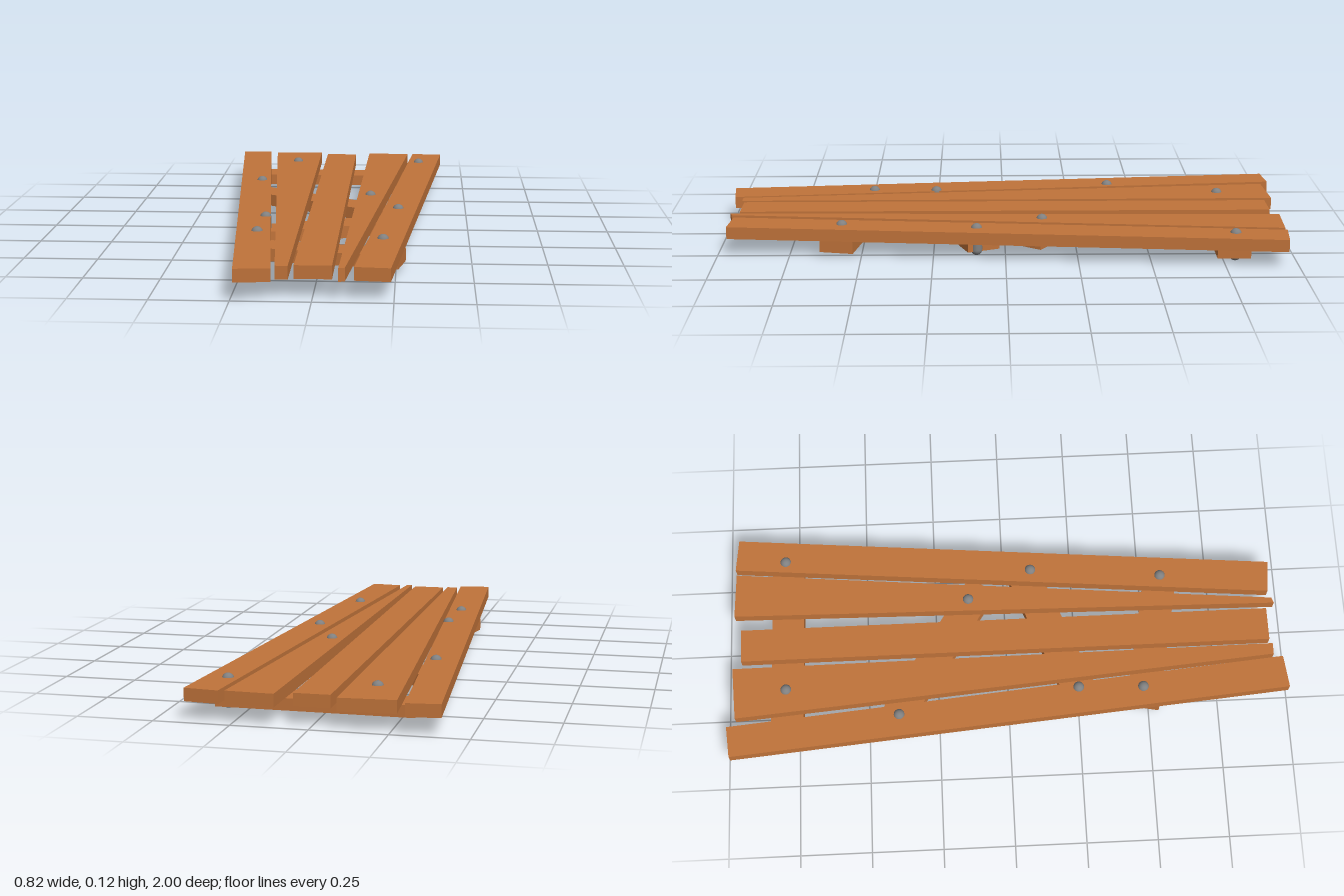
import * as THREE from 'three';

const wood = new THREE.MeshStandardMaterial({ color: 0xc0733a, flatShading: true });
const iron = new THREE.MeshStandardMaterial({ color: 0x808080 });

// Board cut to a plan outline of [x, z] corners, between two heights
function board(name, corners, y0, y1) {
  const shape = new THREE.Shape(corners.map(([x, z]) => new THREE.Vector2(x, -z)));
  const geo = new THREE.ExtrudeGeometry(shape, { depth: y1 - y0, bevelEnabled: false });
  geo.rotateX(-Math.PI / 2);
  geo.translate(0, y0, 0);
  const mesh = new THREE.Mesh(geo, wood);
  mesh.name = name;
  return mesh;
}

export function createModel() {
  const model = new THREE.Group();
  model.name = 'plankPanel';

  // Tapering planks, fanned out towards the back
  const planks = {
    outerRightPlank: [[-0.41, -0.99], [-0.30, -1.0], [-0.125, 0.987], [-0.24, 1.0]],
    innerRightPlank: [[-0.27, -0.97], [-0.085, -0.98], [-0.075, 0.955], [-0.115, 0.955]],
    middlePlank: [[-0.058, -0.95], [0.06, -0.95], [0.06, 0.945], [-0.058, 0.945]],
    innerLeftPlank: [[0.115, -0.975], [0.275, -0.968], [0.10, 0.968], [0.08, 0.975]],
    outerLeftPlank: [[0.295, -0.972], [0.41, -0.96], [0.24, 0.968], [0.127, 0.957]],
  };
  for (const [name, corners] of Object.entries(planks)) {
    model.add(board(name, corners, 0.058, 0.101));
  }

  // Crooked cross battens underneath: centre x, z, length, width, turn, top
  const battens = [
    ['backBatten', 0.023, -0.787, 0.65, 0.115, 0.01, 0.055],
    ['upperBatten', -0.045, -0.25, 0.624, 0.112, 0.59, 0.058],
    ['lowerBatten', 0, 0.175, 0.54, 0.118, -0.38, 0.058],
    ['frontBatten', 0, 0.532, 0.55, 0.118, 0.2, 0.058],
  ];
  for (const [name, x, z, length, width, turn, top] of battens) {
    const batten = new THREE.Mesh(new THREE.BoxGeometry(length, top - 0.015, width), wood);
    batten.position.set(x, (top + 0.015) / 2, z);
    batten.rotation.y = -turn;
    batten.name = name;
    model.add(batten);
  }

  // Round-headed nails through planks and battens
  const nails = [
    [-0.17, -0.79], [0.32, -0.79], [-0.28, -0.39], [0.145, -0.13],
    [-0.207, 0.25], [0.25, 0.10], [-0.215, 0.48], [0.207, 0.57],
  ];
  const nailGeo = new THREE.CapsuleGeometry(0.02, 0.075, 6, 20);
  nails.forEach(([x, z], i) => {
    const nail = new THREE.Mesh(nailGeo, iron);
    nail.position.set(x, 0.0575, z);
    nail.name = `nail${i + 1}`;
    model.add(nail);
  });

  return model;
}
